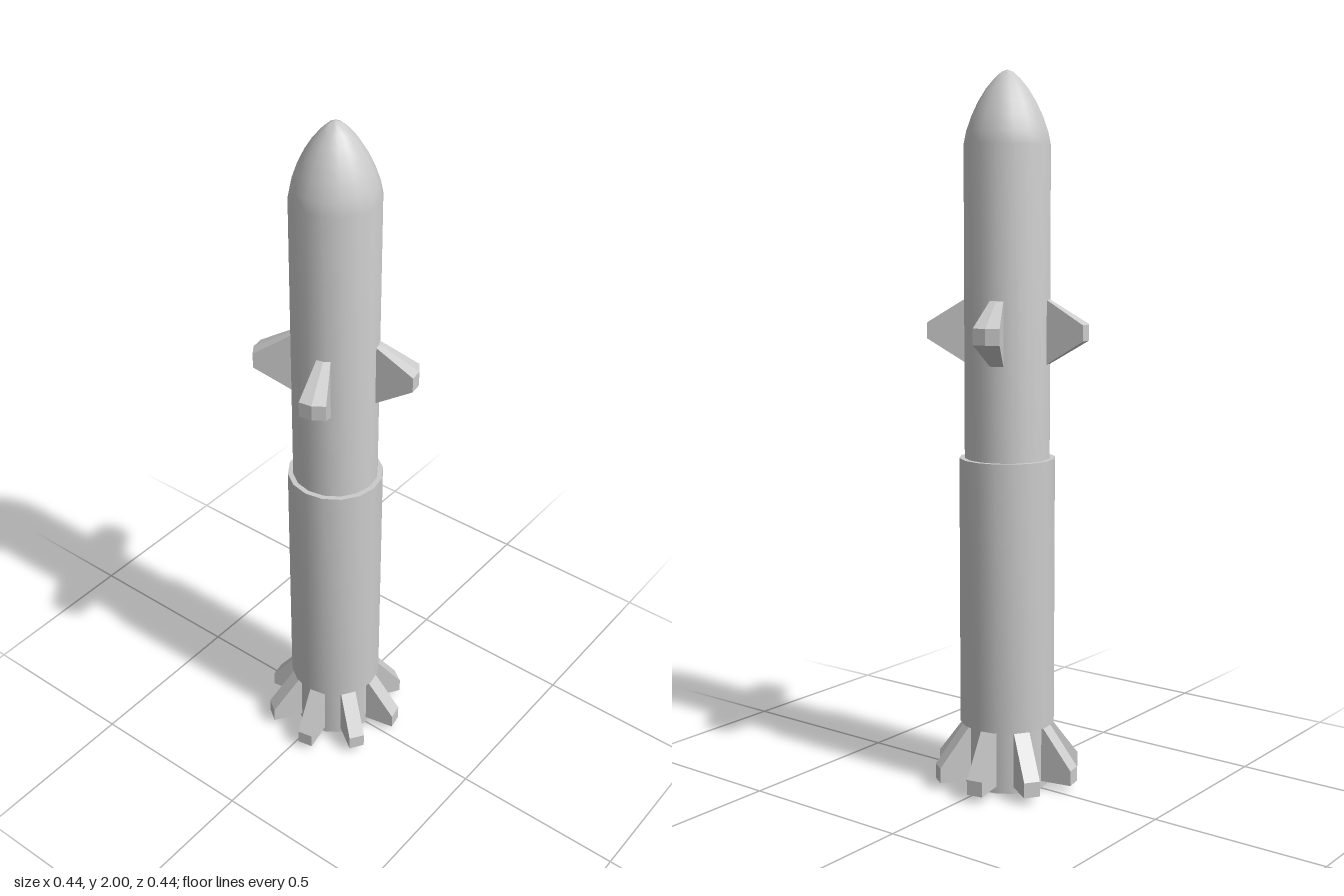
import * as THREE from 'three';
import { toCreasedNormals } from 'three/addons/utils/BufferGeometryUtils.js';

const SIDES = 16;
const material = new THREE.MeshStandardMaterial({ color: 0xcccccc });
const rad = THREE.MathUtils.degToRad;

// Turned part with smooth sides and sharp rims
function turned(name, profile) {
  const points = profile.map(([r, y]) => new THREE.Vector2(r, y));
  const mesh = new THREE.Mesh(toCreasedNormals(new THREE.LatheGeometry(points, SIDES), 0.6), material);
  mesh.name = name;
  return mesh;
}

// Copies of a part that points along +x, spaced evenly around the axis
function ring(name, geometry, count, startDegrees) {
  const group = new THREE.Group();
  group.name = name + 's';
  for (let i = 0; i < count; i++) {
    const mesh = new THREE.Mesh(geometry, material);
    mesh.name = name;
    mesh.rotation.y = rad(startDegrees + (i * 360) / count);
    group.add(mesh);
  }
  return group;
}

// Tail fin: flat plate with a sloping top edge
function tailFinGeometry() {
  const shape = new THREE.Shape([
    [0.11, 0.02], [0.208, 0.02], [0.208, 0.063], [0.12, 0.18], [0.11, 0.18],
  ].map(([x, y]) => new THREE.Vector2(x, y)));
  const width = 0.046;
  return new THREE.ExtrudeGeometry(shape, { depth: width, bevelEnabled: false })
    .translate(0, 0, -width / 2);
}

// Upper fin: box bent into a wedge that widens and gets lower towards the tip
function upperFinGeometry() {
  const box = new THREE.BoxGeometry(2, 2, 2, 1, 1, 2);
  const p = box.attributes.position;
  for (let i = 0; i < p.count; i++) {
    const outer = p.getX(i) > 0;
    const side = p.getZ(i);
    const angle = rad(9.4) * side;
    const r = (outer ? 0.23 : 0.113) * (side === 0 ? 1 : 0.975);
    const halfHeight = outer ? 0.022 : 0.093;
    p.setXYZ(i, r * Math.cos(angle), 1.293 + p.getY(i) * halfHeight, r * Math.sin(angle));
  }
  const flat = box.toNonIndexed();
  flat.computeVertexNormals();
  return flat;
}

export function createModel() {
  const model = new THREE.Group();
  model.name = 'rocket';

  // Body with hollow tail and rounded nose
  model.add(turned('body', [
    [0, 0.18], [0.09, 0.18], [0.09, 0], [0.12, 0], [0.12, 1.8],
    [0.113, 1.835], [0.099, 1.875], [0.08, 1.915], [0.058, 1.95],
    [0.035, 1.977], [0.016, 1.994], [0, 2],
  ]));

  // Thicker lower sleeve
  model.add(turned('sleeve', [
    [0.115, 0.18], [0.135, 0.18], [0.135, 0.94], [0.115, 0.94],
  ]));

  model.add(ring('tailFin', tailFinGeometry(), 8, 11.25));
  model.add(ring('upperFin', upperFinGeometry(), 4, 22.5));
  return model;
}
